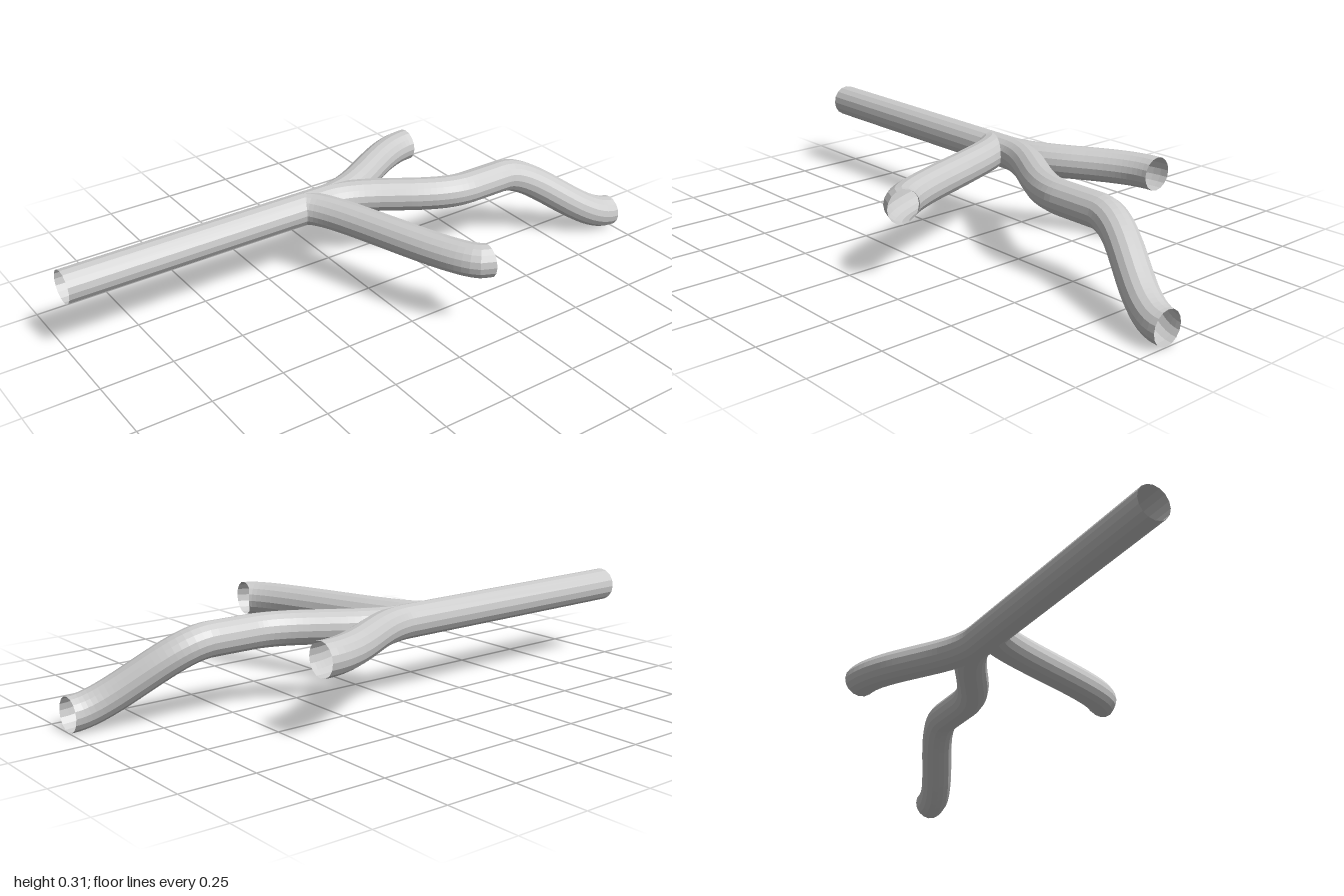
import * as THREE from 'three';

const RADIUS = 0.057, SIDES = 16;
const Y = 0.257, Z = -0.215; // axis of the main pipe

const v = (x, y, z) => new THREE.Vector3(x, y, z);

// S-bend that leaves and arrives along x
const sBend = (a, b, handle) => new THREE.CubicBezierCurve3(
  a, v(a.x + handle, a.y, a.z), v(b.x - handle, b.y, b.z), b);

export function createModel() {
  const group = new THREE.Group();
  const material = new THREE.MeshStandardMaterial({
    color: 0xcccccc, flatShading: true, side: THREE.DoubleSide,
  });

  const addPipe = (name, curve, segments) => {
    const mesh = new THREE.Mesh(
      new THREE.TubeGeometry(curve, segments, RADIUS, SIDES, false), material);
    mesh.name = name;
    group.add(mesh);
  };

  // Straight main pipe, open at its end
  addPipe('mainPipe', new THREE.LineCurve3(v(-1, Y, Z), v(0, Y, Z)), 1);

  // Branch swinging to the back
  addPipe('backBranch', sBend(v(-0.04, Y, Z), v(0.465, Y, -0.42), 0.17), 24);

  // Middle branch: bend forward, short straight, then bend forward and down
  const middle = new THREE.CurvePath();
  const bendEnd = v(0.44, Y, -0.013), dropStart = v(0.585, Y, -0.013);
  middle.add(sBend(v(-0.04, Y, Z), bendEnd, 0.17));
  middle.add(new THREE.LineCurve3(bendEnd, dropStart));
  middle.add(sBend(dropStart, v(0.998, 0.058, 0.137), 0.14));
  addPipe('middleBranch', middle, 56);

  // Side branch heading steeply to the front, turning back along x at its end
  addPipe('frontBranch', new THREE.CubicBezierCurve3(
    v(-0.13, Y, Z), v(-0.03, Y, Z), v(0.07, Y, 0.4), v(0.172, Y, 0.413)), 32);

  return group;
}
